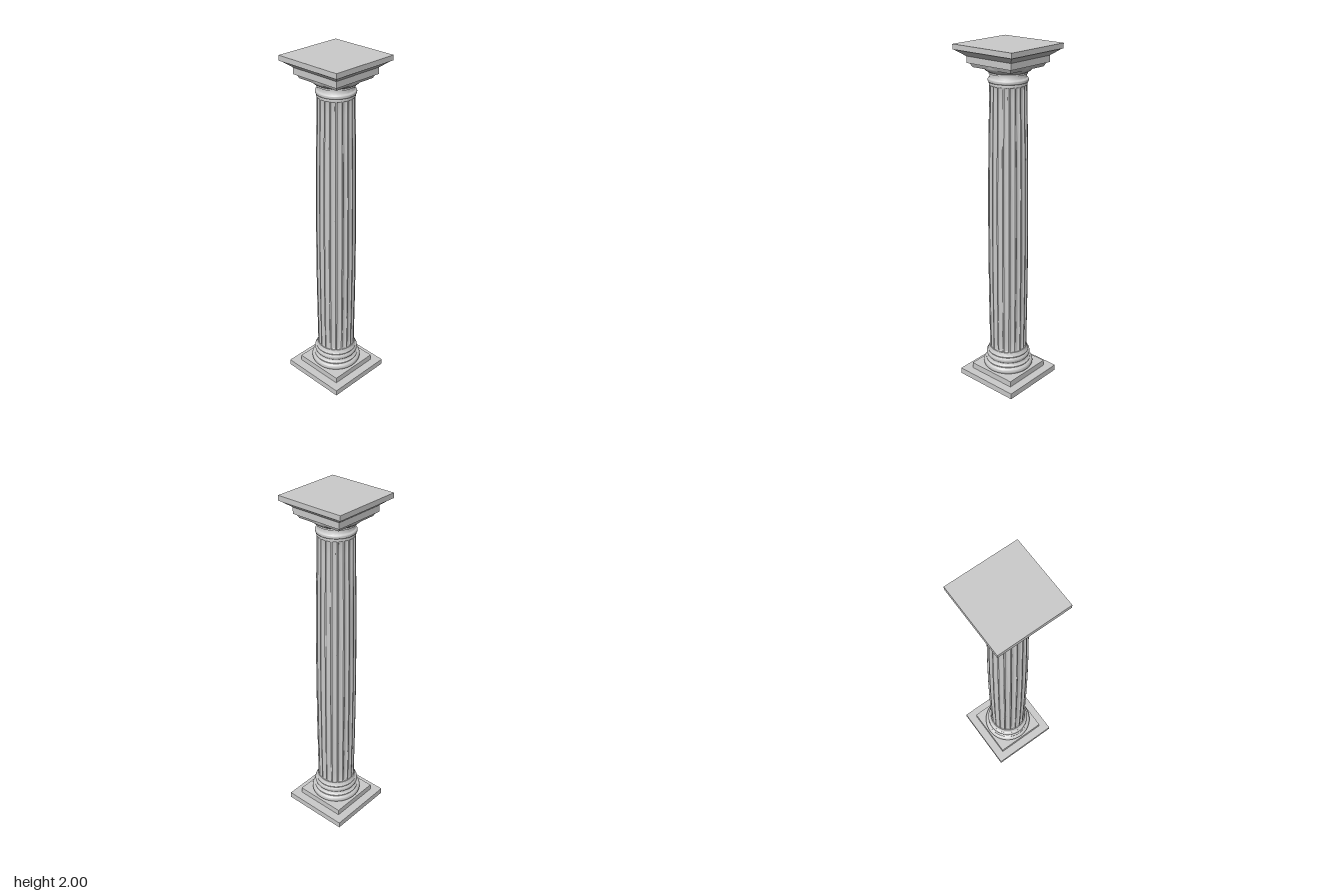
import * as THREE from 'three';
import { toCreasedNormals } from 'three/addons/utils/BufferGeometryUtils.js';

const material = new THREE.MeshStandardMaterial({ color: 0xcccccc });

function add(group, name, geometry, y = 0) {
  const mesh = new THREE.Mesh(geometry, material);
  mesh.name = name;
  mesh.position.y = y;
  group.add(mesh);
}

// Square slab from y0 to y1
function slab(group, name, half, y0, y1) {
  add(group, name, new THREE.BoxGeometry(half * 2, y1 - y0, half * 2), (y0 + y1) / 2);
}

// Turned moulding from [radius, y] pairs, listed upward
function turned(group, name, points) {
  const profile = points.map(([r, y]) => new THREE.Vector2(r, y));
  add(group, name, toCreasedNormals(new THREE.LatheGeometry(profile, 64), 0.7));
}

// Half-round bead: points bulging outward between y0 and y1
function bead(r, bulge, y0, y1, n = 10) {
  return Array.from({ length: n + 1 }, (_, i) => {
    const a = (i / n) * Math.PI;
    return [r + bulge * Math.sin(a), (y0 + y1) / 2 - ((y1 - y0) / 2) * Math.cos(a)];
  });
}

// Fluted shaft with a slight swelling; flutes run out in rounded ends
function shaftGeometry(y0, y1) {
  const flutes = 20, steps = 10, rows = 24, endLength = 0.014, depth = 0.009;
  const levels = [];
  for (let i = 0; i <= 4; i++) levels.push(y0 + (endLength * i) / 4);
  for (let i = 1; i < rows; i++) levels.push(y0 + endLength + ((y1 - y0 - 2 * endLength) * i) / rows);
  for (let i = 4; i >= 0; i--) levels.push(y1 - (endLength * i) / 4);
  const swell = new THREE.SplineCurve([
    new THREE.Vector2(0.110, y0), new THREE.Vector2(0.1135, 0.65),
    new THREE.Vector2(0.1135, 1.05), new THREE.Vector2(0.109, 1.45), new THREE.Vector2(0.101, y1)]);
  const count = flutes * steps, position = [], index = [];
  levels.forEach((y, row) => {
    const radius = swell.getPoint((y - y0) / (y1 - y0)).x;
    const t = Math.min(1, (y - y0) / endLength, (y1 - y) / endLength);
    const fade = Math.sqrt(Math.max(0, 1 - (1 - t) ** 2));
    for (let i = 0; i < count; i++) {
      // A flat fillet separates neighbouring hollows
      const u = ((i % steps) / steps - 0.5) / 0.4;
      const hollow = Math.sqrt(Math.max(0, 1 - u * u)) * depth * fade;
      const a = ((i - steps / 2) / count) * Math.PI * 2;
      position.push((radius - hollow) * Math.sin(a), y, (radius - hollow) * Math.cos(a));
      if (row < levels.length - 1) {
        const p = row * count + i, q = row * count + ((i + 1) % count);
        index.push(p, q, q + count, p, q + count, p + count);
      }
    }
  });
  const geometry = new THREE.BufferGeometry();
  geometry.setAttribute('position', new THREE.Float32BufferAttribute(position, 3));
  geometry.setIndex(index);
  geometry.computeVertexNormals();
  return toCreasedNormals(geometry, 0.6);
}

export function createModel() {
  const group = new THREE.Group();
  group.name = 'column';

  // Stepped square base
  slab(group, 'plinth', 0.204, 0, 0.036);
  slab(group, 'plinthStep', 0.154, 0.036, 0.072);

  // Base mouldings: large torus, hollow, small torus and fillet
  turned(group, 'baseMoulding', [
    [0, 0.072], ...bead(0.132, 0.016, 0.072, 0.112),
    [0.132, 0.117], [0.124, 0.122], [0.119, 0.129], [0.119, 0.135], [0.123, 0.14],
    ...bead(0.121, 0.009, 0.14, 0.172),
    [0.122, 0.178], [0.117, 0.183], [0.114, 0.19], [0.112, 0.203], [0, 0.203]]);

  add(group, 'shaft', shaftGeometry(0.2, 1.79));

  // Neck ring, neck and spreading echinus
  turned(group, 'capitalMoulding', [
    [0, 1.788], [0.102, 1.788], [0.103, 1.8], ...bead(0.102, 0.007, 1.803, 1.825),
    [0.098, 1.83], [0.098, 1.848], [0.104, 1.848], [0.104, 1.857],
    [0.112, 1.861], [0.122, 1.867], [0.132, 1.876], [0.138, 1.886], [0.14, 1.9], [0, 1.9]]);

  // Square capital: chamfered slab, block, sloping course and top slab
  const taper = (name, low, high, y0, y1) => {
    const geometry = new THREE.CylinderGeometry(high * Math.SQRT2, low * Math.SQRT2, y1 - y0, 4);
    geometry.rotateY(Math.PI / 4);
    add(group, name, toCreasedNormals(geometry, 0.3), (y0 + y1) / 2);
  };
  taper('abacusChamfer', 0.132, 0.143, 1.88, 1.902);
  slab(group, 'abacus', 0.154, 1.902, 1.937);
  taper('slopingCourse', 0.154, 0.2, 1.937, 1.972);
  slab(group, 'topSlab', 0.204, 1.972, 2);
  return group;
}
